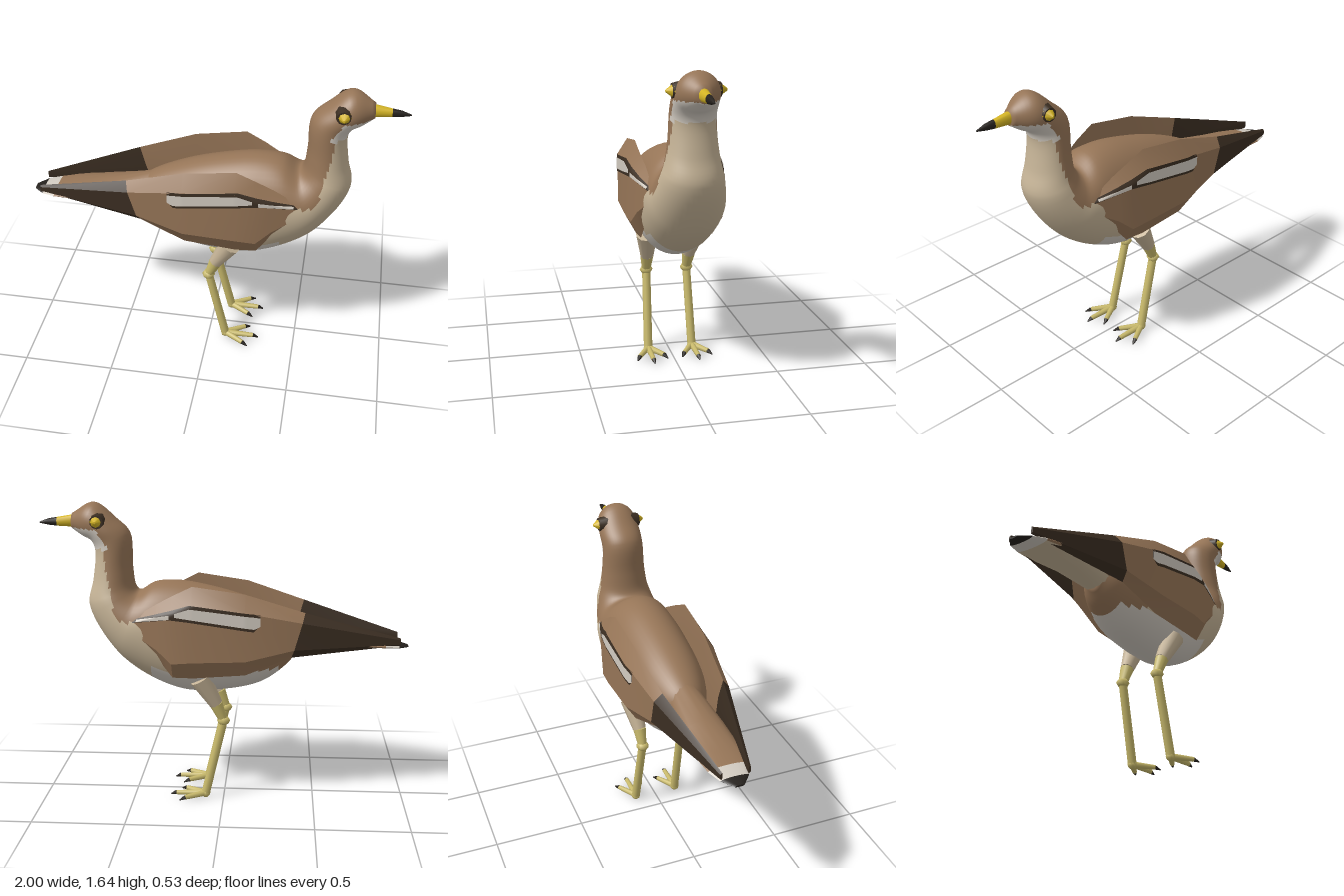
import * as THREE from 'three';
import { toCreasedNormals } from 'three/addons/utils/BufferGeometryUtils.js';

const V = (x, y, z) => new THREE.Vector3(x, y, z);
const lerp = THREE.MathUtils.lerp;

function material(name, color, side = THREE.FrontSide) {
  const m = new THREE.MeshStandardMaterial({ color, side });
  m.name = name;
  return m;
}

// Skins closed rings of points, caps both ends and picks a material index per quad.
function loft(rings, pick, flip = false, crease = 0) {
  const n = rings[0].length, pts = rings.flat(), byMat = [];
  const add = (a, b, c, m) => (byMat[m] ??= []).push(...(flip ? [a, c, b] : [a, b, c]));
  const centre = (list) => list.reduce((s, p) => s.add(p), V(0, 0, 0)).divideScalar(list.length);
  for (let i = 0; i < rings.length - 1; i++) {
    for (let j = 0; j < n; j++) {
      const a = i * n + j, b = i * n + (j + 1) % n, c = a + n, d = b + n;
      const m = pick(centre([pts[a], pts[b], pts[c], pts[d]]), j);
      add(a, b, c, m);
      add(b, d, c, m);
    }
  }
  const last = rings.length - 1, back = pts.length, front = back + 1;
  const ends = [centre(rings[0]), centre(rings[last])];
  pts.push(...ends);
  for (let j = 0; j < n; j++) {
    const k = (j + 1) % n;
    add(back, k, j, pick(ends[0], j));
    add(front, last * n + j, last * n + k, pick(ends[1], j));
  }
  const geo = new THREE.BufferGeometry().setFromPoints(pts), index = [];
  byMat.forEach((list, m) => {
    geo.addGroup(index.length, list.length, m);
    index.push(...list);
  });
  geo.setIndex(index);
  geo.computeVertexNormals();
  return crease ? toCreasedNormals(geo, crease) : geo;
}

// Elliptical ring between a top and a bottom point.
function ring(top, bottom, w, n) {
  const mid = top.clone().add(bottom).multiplyScalar(0.5), half = top.clone().sub(mid);
  return Array.from({ length: n }, (_, j) => {
    const a = (j / n) * Math.PI * 2;
    return mid.clone().addScaledVector(half, Math.cos(a)).add(V(0, 0, w * Math.sin(a)));
  });
}

// Wing stations: x, top y, bottom y, outer z, slant
const WING = [
  [-0.95, 0.925, 0.885, 0.08, 0], [-0.4, 1.08, 0.835, 0.205, 0.28], [-0.12, 1.18, 0.74, 0.25, 0],
  [0.16, 1.22, 0.72, 0.257, 0], [0.27, 1.165, 0.72, 0.248, 0], [0.35, 1.12, 0.82, 0.228, 0],
  [0.49, 1.035, 0.95, 0.19, 0],
];
const wingDepth = (h) => 0.055 * Math.min(1, h / 0.4 + 0.1);

// Outer surface of the wing at x, y
function wingZ(x, y) {
  let i = 0;
  while (i < WING.length - 2 && x > WING[i + 1][0]) i++;
  const a = WING[i], b = WING[i + 1], t = (x - a[0]) / (b[0] - a[0]);
  const [top, bottom, z] = [1, 2, 3].map((k) => lerp(a[k], b[k], t));
  const h = top - bottom, ridge = top - 0.2 * h;
  return z - (Math.max(0, y - ridge) / (0.2 * h)) * wingDepth(h);
}

// Thin stripe following the wing; rows are x, low y, high y
function stripe(rows, offset, s) {
  const cols = 40, steps = 4, pts = [], index = [];
  const x0 = rows[0][0], x1 = rows[rows.length - 1][0];
  for (let i = 0; i <= cols; i++) {
    const x = lerp(x0, x1, i / cols);
    let k = 0;
    while (k < rows.length - 2 && x > rows[k + 1][0]) k++;
    const t = (x - rows[k][0]) / (rows[k + 1][0] - rows[k][0]);
    const lo = lerp(rows[k][1], rows[k + 1][1], t), hi = lerp(rows[k][2], rows[k + 1][2], t);
    for (let j = 0; j <= steps; j++) {
      const y = lerp(lo, hi, j / steps);
      pts.push(V(x, y, s * (wingZ(x, y) + offset)));
      if (i < cols && j < steps) {
        const a = i * (steps + 1) + j, b = a + steps + 1;
        index.push(...(s > 0 ? [a, b, a + 1, b, b + 1, a + 1] : [a, a + 1, b, b, a + 1, b + 1]));
      }
    }
  }
  const geo = new THREE.BufferGeometry().setFromPoints(pts);
  geo.setIndex(index);
  geo.computeVertexNormals();
  return geo;
}

export function createModel() {
  const bird = new THREE.Group();
  bird.name = 'bird';
  const brown = material('brown plumage', 0x967557), beige = material('beige breast', 0xc6b497);
  const pale = material('pale feathers', 0xd2cbc1, THREE.DoubleSide);
  const dark = material('dark feathers', 0x3b2e22, THREE.DoubleSide);
  const legYellow = material('leg yellow', 0xc9ba6c), yellow = material('bright yellow', 0xd4b424);
  const black = material('black', 0x25211d);

  const add = (name, geo, mat, parent = bird) => {
    const mesh = new THREE.Mesh(geo, mat);
    mesh.name = name;
    parent.add(mesh);
    return mesh;
  };
  const limb = (name, a, b, ra, rb, mat, parent, sides = 10) => {
    const mesh = add(name, new THREE.CylinderGeometry(rb, ra, a.distanceTo(b), sides), mat, parent);
    mesh.position.copy(a).lerp(b, 0.5);
    mesh.quaternion.setFromUnitVectors(V(0, 1, 0), b.clone().sub(a).normalize());
  };

  // Body, neck and head: back x, y, underside x, y, half width
  const body = [
    [-0.42, 0.97, -0.4, 0.83, 0.05], [-0.33, 1.04, -0.34, 0.755, 0.12], [-0.15, 1.12, -0.2, 0.655, 0.185],
    [0.05, 1.18, 0.03, 0.605, 0.21], [0.25, 1.215, 0.22, 0.605, 0.215], [0.38, 1.205, 0.43, 0.69, 0.21],
    [0.46, 1.16, 0.6, 0.83, 0.19], [0.485, 1.18, 0.74, 1.08, 0.155], [0.5, 1.29, 0.715, 1.22, 0.127],
    [0.51, 1.47, 0.7, 1.38, 0.115], [0.585, 1.55, 0.72, 1.43, 0.115], [0.7, 1.635, 0.765, 1.455, 0.1],
    [0.82, 1.575, 0.825, 1.495, 0.035],
  ];
  const topCurve = new THREE.CatmullRomCurve3(body.map((b) => V(b[0], b[1], b[4])));
  const lowCurve = new THREE.CatmullRomCurve3(body.map((b) => V(b[2], b[3], 0)));
  const rings = [], steps = (body.length - 1) * 6;
  for (let i = 0; i <= steps; i++) {
    const t = topCurve.getPoint(i / steps), w = t.z;
    rings.push(ring(t.setZ(0), lowCurve.getPoint(i / steps), w, 48));
  }
  const plumage = ({ x, y }) => {
    if (y > 1.39 && x > 0.62) return y < Math.min(1.5, 1.44 + (x - 0.64) * 1.5) ? 2 : 0;
    if (y > 1.07) return x > 0.6 + 0.2 * (y - 1.15) ? 1 : 0;
    if (x > 0.3) return y > 1.02 && x < 0.57 ? 0 : (y < 0.76 && x < 0.4 ? 2 : 1);
    if (y < 0.76) return x < -0.3 ? 0 : 2;
    return y > (x < -0.15 ? 0.76 : 0.95) ? 0 : 1;
  };
  add('body', loft(rings, plumage), [brown, beige, pale]);

  // Tail: x, top y, bottom y, half width
  const tail = [
    [-1, 0.872, 0.862, 0.025], [-0.945, 0.885, 0.862, 0.075], [-0.87, 0.9, 0.865, 0.105],
    [-0.78, 0.92, 0.866, 0.118], [-0.58, 0.97, 0.862, 0.112], [-0.3, 1.045, 0.82, 0.085],
  ].map(([x, t, b, w]) => ring(V(x, t, 0), V(x, b, 0), w, 16));
  const tailColour = ({ x }, j) => (x < -0.945 ? 3 : x < -0.87 ? 2 : j > 4 && j < 11 ? 1 : 0);
  add('tail', loft(tail, tailColour, false, 0.9), [brown, beige, pale, black]);

  // Beak
  const beakRing = (x, top, bottom, w) => ring(V(x, top, 0), V(x, bottom, 0), w, 10);
  const beak = [beakRing(0.8, 1.57, 1.5, 0.03), beakRing(0.905, 1.552, 1.505, 0.017),
    beakRing(0.95, 1.545, 1.51, 0.013), beakRing(1, 1.527, 1.52, 0.003)];
  add('beak', loft(beak, ({ x }) => (x < 0.905 ? 0 : 1), false, 0.9), [yellow, black]);

  for (const s of [1, -1]) {
    const side = s > 0 ? 'left' : 'right';

    // Eye: dark rim with a pointed yellow iris
    const rim = add(side + 'EyeRim', new THREE.CylinderGeometry(0.036, 0.048, 0.05, 10), dark);
    rim.position.set(0.67, 1.54, s * 0.093);
    rim.rotation.x = s * Math.PI / 2;
    const eye = add(side + 'Eye', new THREE.CylinderGeometry(0.006, 0.036, 0.04, 8), yellow);
    eye.position.set(0.673, 1.54, s * 0.128);
    eye.rotation.x = s * Math.PI / 2;

    // Folded wing with dark flight feathers and a pale bar
    const wing = new THREE.Group();
    wing.name = side + 'Wing';
    bird.add(wing);
    const wingRings = WING.map(([x, top, bottom, z, slant]) => {
      const h = top - bottom, d = wingDepth(h), mid = (top + bottom) / 2;
      return [[top, z - d], [top - 0.2 * h, z], [bottom + 0.2 * h, z], [bottom, z - d], [mid, z - d * 1.2]]
        .map(([y, pz]) => V(x - slant * (y - mid), y, s * pz));
    });
    add('wingFeathers', loft(wingRings, ({ x }) => (x < -0.4 ? 1 : 0), s < 0, 0.45), [brown, dark], wing);
    add('wingBarBorder', stripe([[-0.2, 1.03, 1.08], [-0.17, 0.99, 1.085], [0.17, 1.04, 1.13],
      [0.28, 1.05, 1.095], [0.48, 1.02, 1.036]], 0.003, s), dark, wing);
    add('wingBar', stripe([[-0.2, 1.02, 1.065], [-0.17, 1.005, 1.07], [0.17, 1.055, 1.112],
      [0.25, 1.065, 1.085]], 0.006, s), pale, wing);
    add('wingBarTip', stripe([[0.28, 1.052, 1.075], [0.46, 1.027, 1.038]], 0.006, s), pale, wing);

    // Leg
    const leg = new THREE.Group();
    leg.name = side + 'Leg';
    bird.add(leg);
    const hip = V(0.125, 0.7, s * 0.135), sock = V(0.04, 0.55, s * 0.118);
    const knee = V(0, 0.455, s * 0.115), ankle = V(0.1, 0.025, s * 0.125);
    limb('thigh', hip, sock, 0.06, 0.037, beige, leg);
    limb('shin', sock, knee, 0.037, 0.024, legYellow, leg);
    const joint = add('knee', new THREE.SphereGeometry(0.037, 8, 4), legYellow, leg);
    joint.position.copy(knee);
    joint.scale.y = 0.7;
    limb('shank', knee, ankle, 0.023, 0.024, legYellow, leg);
    add('heel', new THREE.SphereGeometry(0.026, 8, 6), legYellow, leg).position.copy(ankle);

    // Three forward toes with claws
    for (const k of [-1, 0, 1]) {
      const reach = k ? 0.11 : 0.165;
      const tip = V(0.1 + reach, 0.023, s * 0.125 + k * 0.068);
      const claw = tip.clone().add(V(0.03, -0.01, k * 0.016));
      limb('toe', ankle, tip, 0.018, 0.013, legYellow, leg, 8);
      limb('claw', tip, claw, 0.013, 0.003, black, leg, 6);
    }
  }
  return bird;
}
